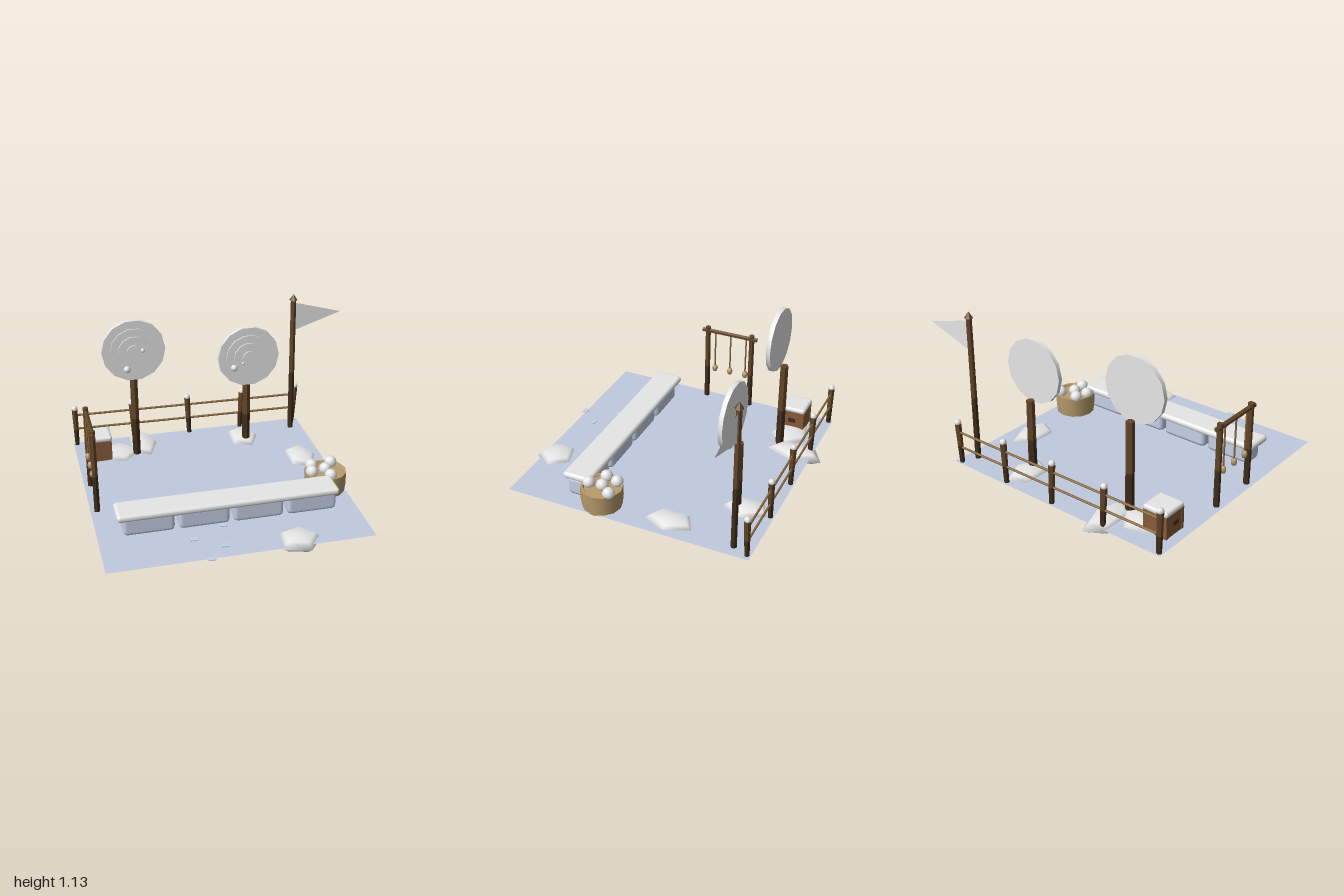
import * as THREE from 'three';
import { toCreasedNormals } from 'three/addons/utils/BufferGeometryUtils.js';
import { RoundedBoxGeometry } from 'three/addons/geometries/RoundedBoxGeometry.js';

const mat = (name, color, side = THREE.FrontSide) => {
  const m = new THREE.MeshStandardMaterial({ color, side });
  m.name = name;
  return m;
};

export function createModel() {
  const snow = mat('snow', 0xeeeeee);
  const cloth = mat('flag cloth', 0xeeeeee, THREE.DoubleSide);
  const ground = mat('frozen ground', 0xc0cbde, THREE.DoubleSide);
  const ice = mat('ice block', 0xc8d4ea);
  const wood = mat('wood', 0x644729);
  const darkWood = mat('dark wood', 0x412e1c);
  const crateWood = mat('crate wood', 0x8a5c3a);
  const rope = mat('rope', 0x8a6b42);
  const wicker = mat('wicker', 0xb89c6c);

  const model = new THREE.Group();
  const FLOOR = 0.065, BASE = 0.057;

  const add = (name, geo, material, x = 0, y = 0, z = 0, parent = model) => {
    const mesh = new THREE.Mesh(geo, material);
    mesh.name = name;
    mesh.position.set(x, y, z);
    parent.add(mesh);
    return mesh;
  };
  const facet = (geo) => toCreasedNormals(geo, 0.5);
  const ball = (name, r, x, y, z, parent = model) =>
    add(name, new THREE.IcosahedronGeometry(r, 1), snow, x, y, z, parent);

  // Hexagonal post with a darker, weathered foot
  const post = (name, x, z, rTop, rBottom, top) => {
    const group = new THREE.Group();
    group.name = name;
    group.position.set(x, BASE, z);
    model.add(group);
    const h = top - BASE, low = h * 0.45, rMid = rBottom + (rTop - rBottom) * 0.45;
    add('foot', facet(new THREE.CylinderGeometry(rMid, rBottom, low, 6)), darkWood, 0, low / 2, 0, group);
    add('shaft', facet(new THREE.CylinderGeometry(rTop, rMid, h - low, 6)), wood, 0, (h + low) / 2, 0, group);
    return group;
  };
  // Straight rod between two points
  const rod = (name, a, b, r, material) => {
    const from = new THREE.Vector3(...a), to = new THREE.Vector3(...b);
    const mid = from.clone().add(to).multiplyScalar(0.5);
    const mesh = add(name, facet(new THREE.CylinderGeometry(r, r, from.distanceTo(to), 6)), material, mid.x, mid.y, mid.z);
    mesh.quaternion.setFromUnitVectors(new THREE.Vector3(0, 1, 0), to.sub(from).normalize());
    return mesh;
  };

  // Ground sheet
  add('ground', new THREE.PlaneGeometry(1.72, 1.72).rotateX(-Math.PI / 2), ground, -0.14, FLOOR, 0.015);

  // Footprints leading to the bench
  for (const [x, z] of [[-0.35, 0.88], [-0.24, 0.755], [-0.41, 0.64], [-0.19, 0.525], [-0.37, 0.41]]) {
    add('footprint', new THREE.BoxGeometry(0.05, 0.005, 0.035), ice, x, FLOOR + 0.003, z);
  }

  // Snow drifts: five-sided flattened mounds (x, z, x radius, z radius)
  const drifts = [
    [0.233, 0.785, 0.152, 0.14], [0.568, -0.245, 0.122, 0.195], [0.24, -0.645, 0.125, 0.18],
    [-0.505, -0.715, 0.116, 0.22], [-0.71, -0.615, 0.19, 0.155],
  ];
  for (const [x, z, rx, rz] of drifts) {
    const drift = add('snowDrift', new THREE.SphereGeometry(1, 5, 4).rotateY(Math.PI), snow, x, 0.052, z);
    drift.scale.set(rx, 0.05, rz);
  }

  // Throwing bench: four ice blocks under a long snow slab
  for (let i = 0; i < 4; i++) {
    add('benchBlock', new RoundedBoxGeometry(0.335, 0.135, 0.145, 1, 0.028), ice, -0.667 + i * 0.361, 0.1245, 0.428);
  }
  add('benchTop', new RoundedBoxGeometry(1.465, 0.048, 0.205, 2, 0.022), snow, -0.14, 0.202, 0.428);

  // Targets: stepped round boards on posts, with stuck snowballs
  const target = (x, y, hits) => {
    post('targetPost', x, -0.583, 0.028, 0.03, y - 0.193);
    const board = new THREE.Group();
    board.name = 'target';
    board.position.set(x, y, 0);
    model.add(board);
    [[0.222, -0.518], [0.165, -0.508], [0.11, -0.498], [0.05, -0.488]].forEach(([r, front], i) => {
      const depth = front + 0.548;
      const geo = facet(new THREE.CylinderGeometry(r, r, depth, 14).rotateY(Math.PI / 14).rotateX(Math.PI / 2));
      add(i ? 'targetRing' : 'targetBoard', geo, snow, 0, 0, front - depth / 2, board);
    });
    for (const [hx, hy, hz, r] of hits) ball('stuckSnowball', r, hx, hy, hz, board);
  };
  target(-0.57, 0.893, [[-0.052, -0.128, -0.503, 0.025], [0.06, 0.005, -0.5, 0.016]]);
  target(0.25, 0.765, [[-0.11, -0.07, -0.503, 0.025], [-0.045, -0.04, -0.5, 0.012]]);

  // Flagpole with pointed cap and pennant
  post('flagPole', 0.635, -0.715, 0.02, 0.021, 1.09);
  add('flagPoleCap', facet(new THREE.ConeGeometry(0.03, 0.045, 6)), wood, 0.635, 1.11, -0.715);
  const pennant = new THREE.Shape([
    new THREE.Vector2(0.65, 1.065), new THREE.Vector2(0.65, 0.855), new THREE.Vector2(0.995, 0.97),
  ]);
  add('flag', new THREE.ShapeGeometry(pennant), cloth, 0, 0, -0.715);

  // Rope fence along the back, with snow caps on leaning posts
  const leans = [0.01, 0.04, 0.04, -0.05, -0.06];
  leans.forEach((lean, i) => {
    const x = -0.978 + i * 0.418;
    const p = post('fencePost', x + lean * 0.28, -0.82, 0.023, 0.017, 0.35);
    p.rotation.z = lean;
    ball('fenceSnowCap', 0.023, 0, 0.3, 0, p);
  });
  for (const y of [0.305, 0.195]) {
    rod('fenceRail', [-0.978, y, -0.82], [0.695, y - 0.018, -0.82], 0.008, rope);
  }

  // Hanging rack at the side
  for (const z of [0.148, -0.198]) post('rackPost', -0.955, z, 0.02, 0.021, 0.655);
  rod('rackBeam', [-0.955, 0.625, 0.188], [-0.955, 0.625, -0.238], 0.017, wood);
  for (const z of [0.09, -0.03, -0.152]) {
    rod('hangingRope', [-0.962, 0.62, z], [-0.962, 0.33, z], 0.006, rope);
    const weight = add('hangingWeight', new THREE.SphereGeometry(0.022, 6, 4), wicker, -0.962, 0.312, z);
    weight.scale.y = 1.4;
  }

  // Crate with side handles and a snow cap
  add('crate', new THREE.BoxGeometry(0.17, 0.16, 0.17), crateWood, -0.845, 0.138, -0.605);
  for (const side of [-1, 1]) {
    add('crateHandle', new THREE.BoxGeometry(0.012, 0.03, 0.05), darkWood, -0.845 + side * 0.088, 0.15, -0.605);
    for (const s of [-1, 1]) {
      add('crateCorner', new THREE.BoxGeometry(0.022, 0.16, 0.022), crateWood, -0.845 + side * 0.077, 0.138, -0.605 + s * 0.077);
    }
  }
  add('crateSnowCap', new RoundedBoxGeometry(0.185, 0.04, 0.185, 2, 0.018), snow, -0.845, 0.232, -0.605);

  // Basket of snowballs
  const basketProfile = [[0, BASE], [0.134, BASE], [0.142, 0.13], [0.142, 0.208], [0.126, 0.208], [0.12, 0.195], [0, 0.195]]
    .map(([r, y]) => new THREE.Vector2(r, y));
  add('basket', toCreasedNormals(new THREE.LatheGeometry(basketProfile, 12), 0.7), wicker, 0.59, 0, 0.235);
  for (const [x, z] of [[0.515, 0.16], [0.655, 0.15], [0.49, 0.25], [0.59, 0.23], [0.598, 0.325]]) {
    ball('basketSnowball', 0.043, x, 0.217, z);
  }

  return model;
}
